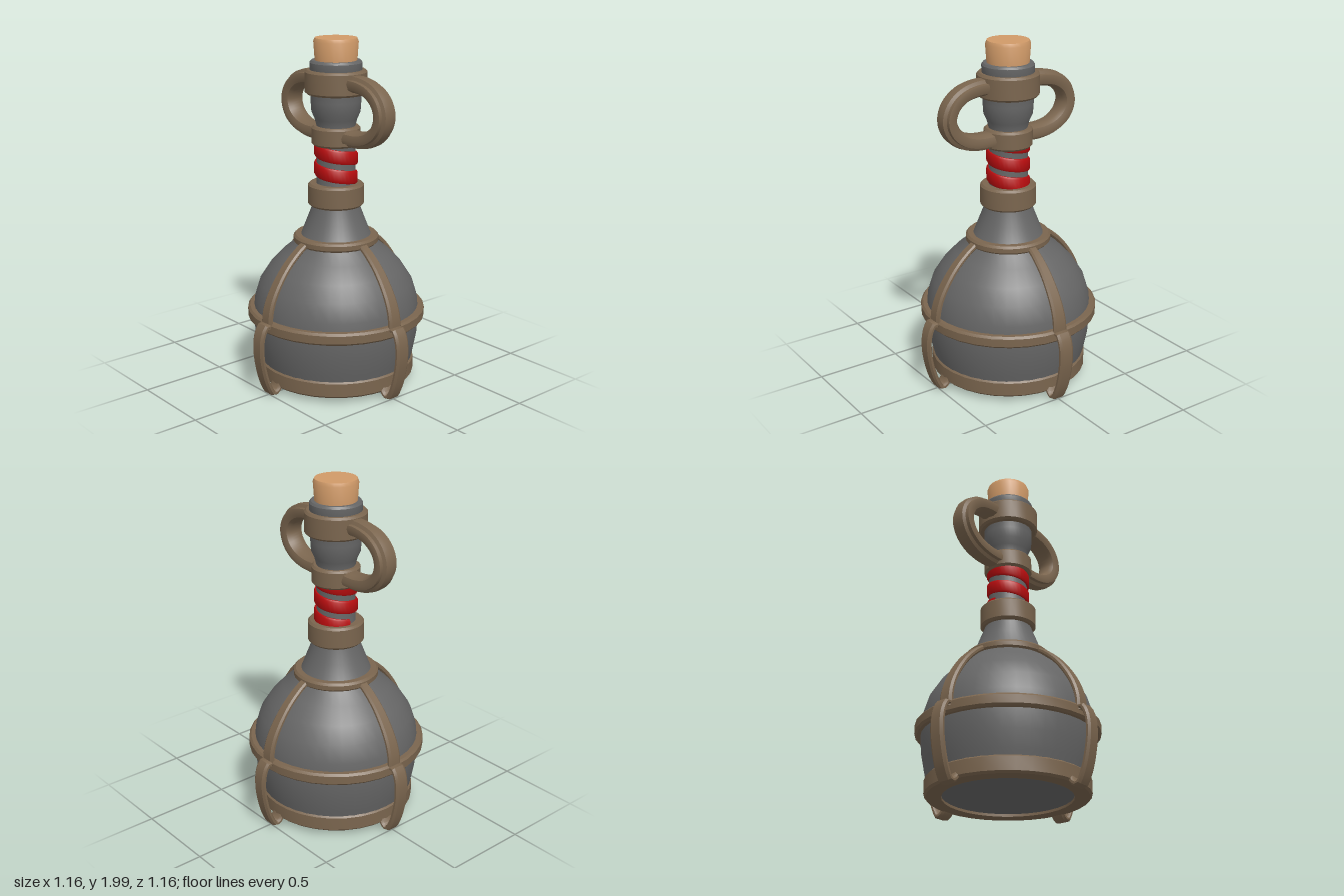
import * as THREE from 'three';
import { toCreasedNormals } from 'three/addons/utils/BufferGeometryUtils.js';

const material = (name, color) => {
  const m = new THREE.MeshStandardMaterial({ color });
  m.name = name;
  return m;
};

const mesh = (name, geometry, mat, crease = 0.6) => {
  const m = new THREE.Mesh(toCreasedNormals(geometry, crease), mat);
  m.name = name;
  return m;
};

const lathe = (points, segments = 32) =>
  new THREE.LatheGeometry(points.map(([r, y]) => new THREE.Vector2(r, y)), segments);

// Closed band with bevelled outer edges
const band = (inner, outer, y0, y1, b = 0.012) => lathe([
  [inner, y0], [outer - b, y0], [outer, y0 + b], [outer, y1 - b], [outer - b, y1], [inner, y1], [inner, y0],
]);

// Skin equal-sized cross-section rings and close both ends
function skin(rings) {
  const n = rings[0].length, index = [];
  for (let i = 0; i < rings.length - 1; i++) {
    for (let j = 0; j < n; j++) {
      const k = (j + 1) % n;
      const a = i * n + j, b = i * n + k, c = b + n, d = a + n;
      index.push(a, b, c, a, c, d);
    }
  }
  const end = (rings.length - 1) * n;
  for (let j = 1; j < n - 1; j++) {
    index.push(0, j + 1, j, end, end + j, end + j + 1);
  }
  const g = new THREE.BufferGeometry().setFromPoints(rings.flat());
  g.setIndex(index);
  return g;
}

// Sweep a section of [outward, sideways] points along a curve in the x-y plane
function sweep(path, section, steps, widthAt = () => 1) {
  const curve = new THREE.CatmullRomCurve3(path.map(([x, y]) => new THREE.Vector3(x, y, 0)));
  const rings = [];
  for (let i = 0; i <= steps; i++) {
    const u = i / steps, p = curve.getPointAt(u), t = curve.getTangentAt(u), w = widthAt(u);
    rings.push(section.map(([h, z]) => new THREE.Vector3(p.x - t.y * h, p.y + t.x * h, z * w)));
  }
  return skin(rings);
}

export function createModel() {
  const glass = material('dark grey glass', 0x666666);
  const leather = material('brown leather', 0x7a654e);
  const cork = material('cork', 0xd09a68);
  const cord = material('red cord', 0xb80c0e);
  const model = new THREE.Group();
  model.name = 'bottle';

  // Bottle body, neck and lip
  model.add(mesh('bottleBody', lathe([
    [0, 0.065], [0.37, 0.06], [0.43, 0.08], [0.455, 0.18], [0.474, 0.28], [0.482, 0.39], [0.474, 0.5],
    [0.443, 0.6], [0.385, 0.69], [0.31, 0.77], [0.23, 0.835], [0.2, 0.88], [0.165, 0.97], [0.13, 1.06],
    [0.112, 1.15], [0.11, 1.51], [0.12, 1.55], [0.138, 1.59], [0.142, 1.65], [0.14, 1.8],
    [0.147, 1.82], [0.147, 1.865], [0.138, 1.877], [0, 1.877],
  ], 40), glass));

  // Cork stopper
  model.add(mesh('stopper', lathe([
    [0, 1.85], [0.117, 1.85], [0.126, 1.98], [0.118, 2], [0, 2],
  ], 24), cork));

  // Leather bands: [name, inner radius, outer radius, bottom, top]
  for (const [name, ...size] of [
    ['baseBand', 0.36, 0.455, 0.045, 0.145],
    ['middleBand', 0.46, 0.515, 0.385, 0.455],
    ['shoulderBand', 0.18, 0.245, 0.83, 0.88],
    ['lowerCollar', 0.1, 0.16, 1.05, 1.18],
    ['middleCollar', 0.1, 0.138, 1.4, 1.51],
    ['upperCollar', 0.12, 0.175, 1.69, 1.825],
  ]) model.add(mesh(name, band(...size), leather));

  // Cage straps, four around
  const strapSection = [
    [-0.015, -0.03], [-0.006, -0.044], [0.006, -0.044], [0.016, -0.03],
    [0.016, 0.03], [0.006, 0.044], [-0.006, 0.044], [-0.015, 0.03],
  ].reverse().map(([h, z]) => [h, -z]).reverse().map(([h, z]) => [h, -z]);
  const upperStrap = sweep([
    [0.22, 0.855], [0.27, 0.825], [0.37, 0.735], [0.462, 0.6], [0.497, 0.5], [0.502, 0.42],
  ], strapSection, 18, (u) => 0.6 + 0.4 * u);
  const lowerStrap = sweep([
    [0.49, 0.43], [0.525, 0.44], [0.556, 0.385], [0.565, 0.29], [0.545, 0.16],
    [0.515, 0.07], [0.486, 0.026], [0.455, 0.04], [0.435, 0.075],
  ], strapSection, 26);
  for (let i = 0; i < 4; i++) {
    const side = new THREE.Group();
    side.name = 'cageStraps';
    side.add(mesh('upperStrap', upperStrap, leather), mesh('lowerStrap', lowerStrap, leather));
    side.rotation.y = i * Math.PI / 2;
    model.add(side);
  }

  // Ridged loop handles, left and right
  const handleSection = [
    [-0.045, -0.03], [-0.03, -0.055], [0, -0.065], [0.022, -0.06], [0.024, -0.04], [0.042, -0.03],
    [0.046, 0], [0.042, 0.03], [0.024, 0.04], [0.022, 0.06], [0, 0.065], [-0.03, 0.055], [-0.045, 0.03],
  ];
  const handle = sweep([
    [0.13, 1.763], [0.22, 1.762], [0.31, 1.738], [0.375, 1.685], [0.401, 1.61],
    [0.375, 1.535], [0.31, 1.482], [0.22, 1.457], [0.1, 1.455],
  ], handleSection, 32);
  for (const [name, turn] of [['leftHandle', 0], ['rightHandle', Math.PI]]) {
    const m = mesh(name, handle, leather);
    m.rotation.y = turn;
    model.add(m);
  }

  // Cord wound around the neck, trimmed between the collars
  const cordSection = [
    [0.104, -0.038], [0.118, -0.038], [0.124, -0.028], [0.124, 0.028], [0.118, 0.038], [0.104, 0.038],
  ].reverse();
  const rings = [];
  for (let a = -Math.PI; a <= Math.PI * 4.01; a += Math.PI / 16) {
    const mid = 1.255 + 0.11 * (a - Math.PI / 2) / (Math.PI * 2);
    rings.push(cordSection.map(([r, h]) => new THREE.Vector3(
      r * Math.cos(a), THREE.MathUtils.clamp(mid + h, 1.17, 1.41), r * Math.sin(a))));
  }
  model.add(mesh('neckCord', skin(rings.map((r) => r.reverse())), cord));

  return model;
}
